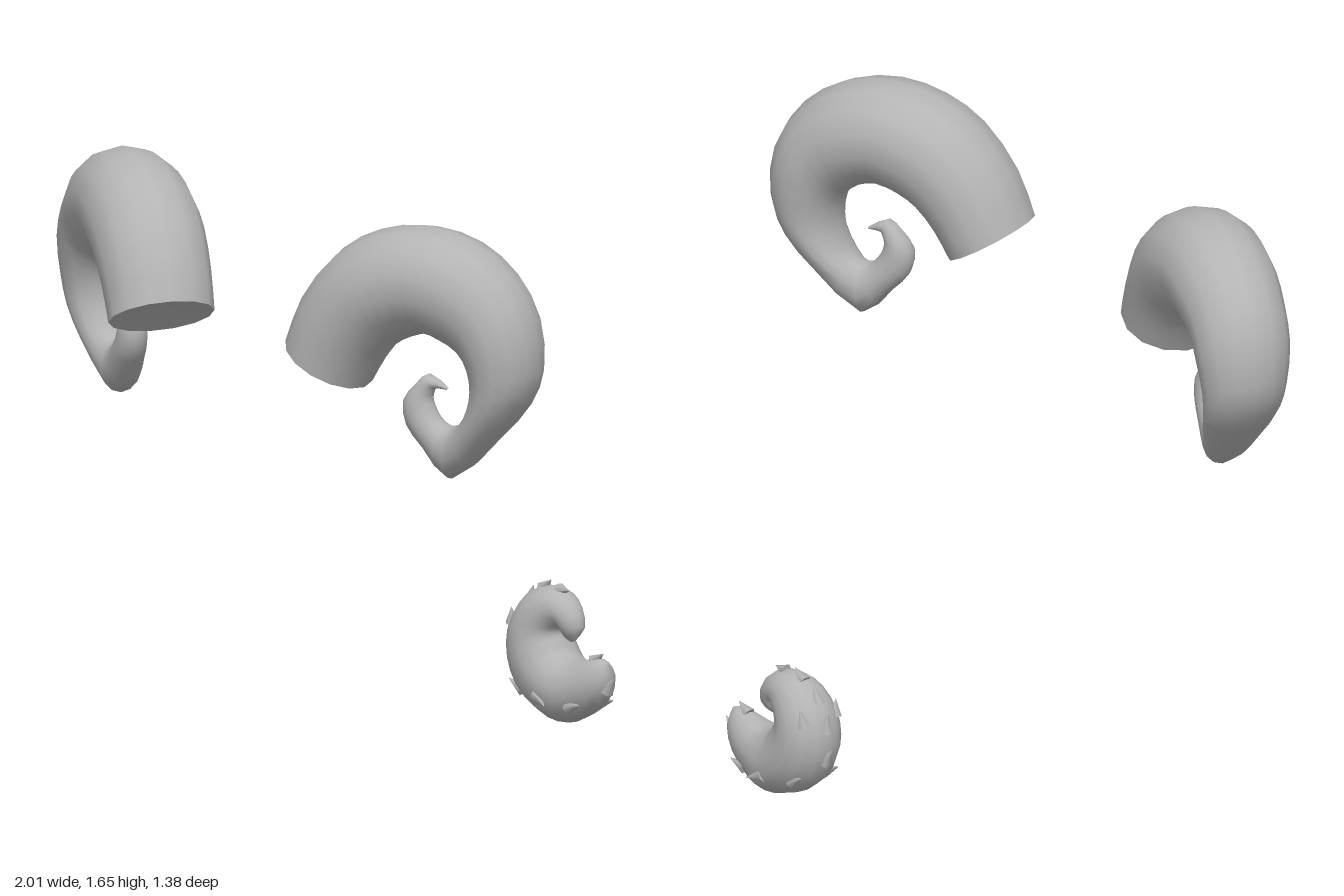
import * as THREE from 'three';

const grey = new THREE.MeshStandardMaterial({ color: 0xb4b4b4 });
grey.name = 'grey';

// Sections along a curl: [outer x, outer y, inner x, inner y, half depth]
const HORN = [
  [0.27, 1.31, 0.48, 1.18, 0.15], [0.32, 1.44, 0.52, 1.25, 0.155], [0.42, 1.57, 0.57, 1.31, 0.16],
  [0.53, 1.635, 0.62, 1.34, 0.16], [0.66, 1.66, 0.68, 1.355, 0.155], [0.80, 1.63, 0.73, 1.34, 0.15],
  [0.91, 1.55, 0.78, 1.31, 0.14], [0.98, 1.43, 0.805, 1.265, 0.135], [0.995, 1.28, 0.81, 1.21, 0.12],
  [0.96, 1.18, 0.80, 1.16, 0.11], [0.87, 1.07, 0.775, 1.115, 0.09], [0.74, 0.95, 0.74, 1.10, 0.06],
  [0.66, 1.03, 0.71, 1.11, 0.05], [0.61, 1.09, 0.69, 1.14, 0.045], [0.60, 1.16, 0.68, 1.17, 0.04],
  [0.635, 1.21, 0.685, 1.19, 0.03], [0.67, 1.24, 0.69, 1.20, 0.025], [0.73, 1.205, 0.725, 1.20, 0.004],
];
const TAIL = [
  [0.195, 0.205, 0.185, 0.21, 0.004], [0.20, 0.14, 0.155, 0.215, 0.035], [0.16, 0.08, 0.11, 0.205, 0.06],
  [0.09, 0.035, 0.06, 0.195, 0.08], [0.02, 0.01, 0.03, 0.20, 0.095], [-0.07, 0.03, 0.0, 0.215, 0.1],
  [-0.15, 0.08, -0.01, 0.235, 0.1], [-0.195, 0.16, -0.02, 0.25, 0.098], [-0.20, 0.25, -0.02, 0.265, 0.093],
  [-0.165, 0.33, -0.01, 0.275, 0.083], [-0.10, 0.38, 0.0, 0.28, 0.07], [-0.02, 0.385, 0.01, 0.28, 0.055],
  [0.04, 0.35, 0.01, 0.27, 0.045], [0.07, 0.29, 0.015, 0.25, 0.03], [0.045, 0.245, 0.03, 0.24, 0.004],
];

// Surface point function for a curl lying in the plane z = z0 + slope * x
function curlSurface(rows, z0, slope) {
  const outer = new THREE.CatmullRomCurve3(rows.map((r) => new THREE.Vector3(r[0], r[1], r[4])));
  const inner = new THREE.CatmullRomCurve3(rows.map((r) => new THREE.Vector3(r[2], r[3], 0)));
  const normal = new THREE.Vector3(-slope, 0, 1).normalize();
  return (u, angle, size = 1) => {
    const o = outer.getPoint(u), i = inner.getPoint(u), depth = o.z;
    o.z = z0 + slope * o.x;
    i.z = z0 + slope * i.x;
    const mid = o.clone().add(i).multiplyScalar(0.5);
    return mid.clone().addScaledVector(o.sub(mid), Math.cos(angle) * size)
      .addScaledVector(normal, depth * Math.sin(angle) * size);
  };
}

// Skin a curl with rings and close its start with a recessed cap
function curlGeometry(surface, steps, sides, side = 1) {
  const pos = [], index = [];
  const put = (p) => pos.push(p.x * side, p.y, p.z) / 3 - 1;
  const face = (a, b, c) => (side > 0 ? index.push(a, b, c) : index.push(a, c, b));
  const angle = (j) => (j / sides) * Math.PI * 2;
  for (let i = 0; i <= steps; i++) {
    for (let j = 0; j < sides; j++) put(surface(i / steps, angle(j)));
  }
  for (let i = 0; i < steps; i++) {
    for (let j = 0; j < sides; j++) {
      const k = (j + 1) % sides, a = i * sides, b = a + sides;
      face(a + j, a + k, b + j);
      face(a + k, b + k, b + j);
    }
  }
  const centre = put(surface(0.015, 0, 0));
  const rim = centre + 1;
  for (let j = 0; j < sides; j++) put(surface(0, angle(j)));
  for (let j = 0; j < sides; j++) face(centre, rim + (j + 1) % sides, rim + j);
  const g = new THREE.BufferGeometry();
  g.setAttribute('position', new THREE.Float32BufferAttribute(pos, 3));
  g.setIndex(index);
  g.computeVertexNormals();
  return g;
}

function addMesh(parent, geometry, name) {
  const mesh = new THREE.Mesh(geometry, grey);
  mesh.name = name;
  parent.add(mesh);
  return mesh;
}

export function createModel() {
  const model = new THREE.Group();
  model.name = 'hornsAndTail';

  // Mirrored pair of spiral horns
  const horn = curlSurface(HORN, 0.69, -0.4);
  addMesh(model, curlGeometry(horn, 34, 14, 1), 'leftHorn');
  addMesh(model, curlGeometry(horn, 34, 14, -1), 'rightHorn');

  // Curled fluffy tail
  const tail = new THREE.Group();
  tail.name = 'tail';
  model.add(tail);
  const fur = curlSurface(TAIL, -0.59, 0);
  addMesh(tail, curlGeometry(fur, 28, 14), 'tailBody');

  // Fur tufts lying along the surface: [position, angle, length, direction]
  const tufts = [
    [0.08, 0, 0.06, -1], [0.10, Math.PI, 0.05, -1], [0.2, 0.9, 0.06, -1], [0.2, -0.9, 0.06, -1],
    [0.32, 1.3, 0.06, -1], [0.32, -1.3, 0.06, -1], [0.42, 0.7, 0.06, 1], [0.42, -0.7, 0.06, 1],
    [0.5, 0, 0.06, 1], [0.58, 0, 0.06, 1], [0.6, 0.8, 0.05, 1], [0.6, -0.8, 0.05, 1],
    [0.65, 0, 0.055, 1], [0.72, 0, 0.05, 1], [0.79, 0, 0.045, 1],
  ];
  const up = new THREE.Vector3(0, 1, 0);
  for (const [u, angle, length, way] of tufts) {
    const root = fur(u, angle, 0.93);
    const out = fur(u, angle).sub(fur(u, angle, 0)).normalize();
    const along = fur(u + 0.02, angle).sub(fur(u - 0.02, angle)).normalize();
    const dir = along.multiplyScalar(way).addScaledVector(out, 0.35).normalize();
    const tuft = addMesh(tail, new THREE.ConeGeometry(0.02, length, 6).translate(0, length * 0.3, 0), 'tuft');
    tuft.position.copy(root);
    tuft.quaternion.setFromUnitVectors(up, dir);
  }
  return model;
}
